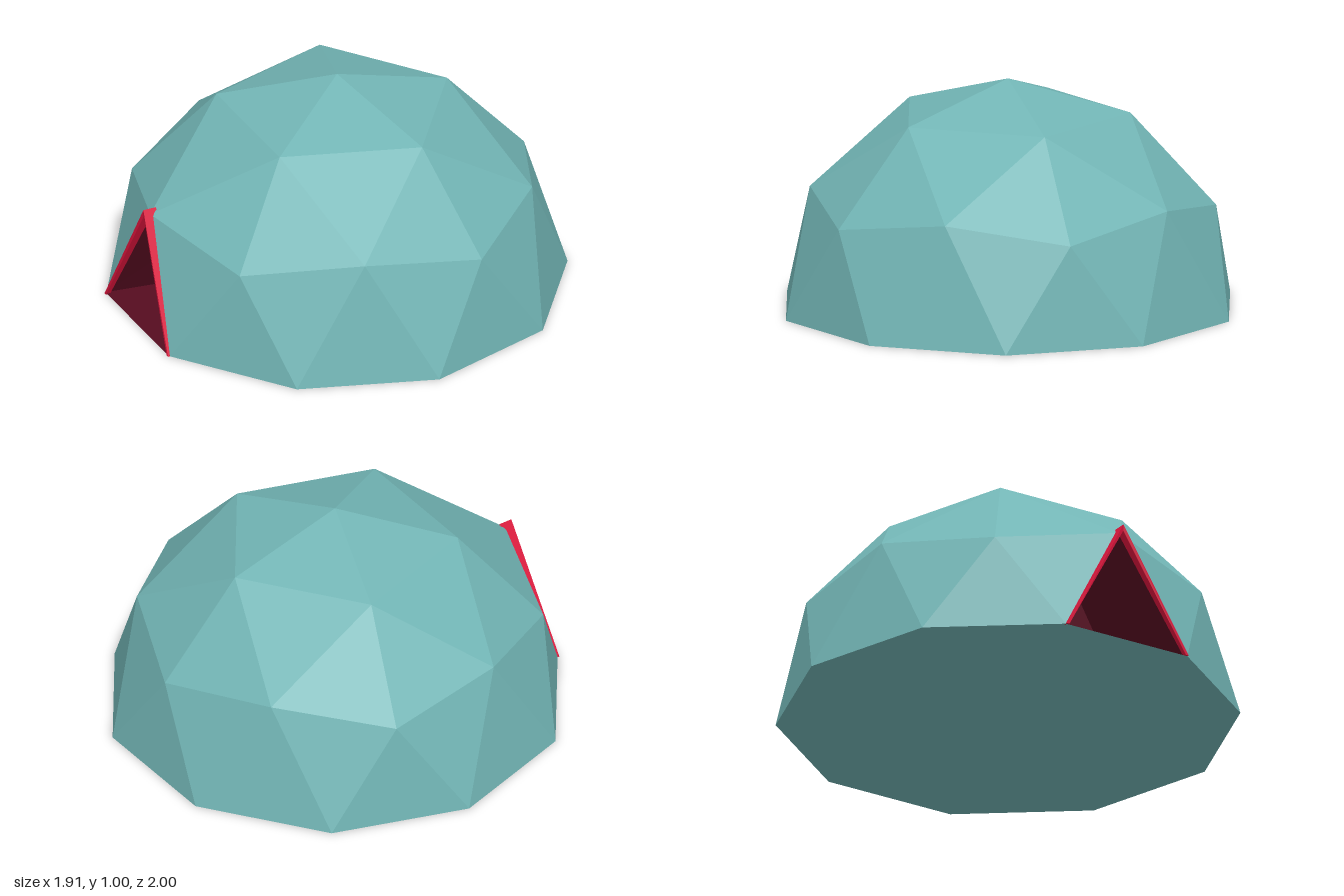
import * as THREE from 'three';
import { ConvexGeometry } from 'three/addons/geometries/ConvexGeometry.js';

// point on a ring, angle in degrees measured from +x towards +z
const ring = (r, y, deg) => {
  const a = THREE.MathUtils.degToRad(deg);
  return new THREE.Vector3(r * Math.cos(a), y, r * Math.sin(a));
};

// flat-faced surface; every triangle faces away from (sign 1) or towards (sign -1) a point
function facets(tris, origin, sign) {
  const pts = [];
  for (const [a, b, c] of tris) {
    const n = b.clone().sub(a).cross(c.clone().sub(a));
    const out = a.clone().add(b).add(c).divideScalar(3).sub(origin);
    pts.push(...(n.dot(out) * sign > 0 ? [a, b, c] : [a, c, b]));
  }
  const geo = new THREE.BufferGeometry().setFromPoints(pts);
  geo.computeVertexNormals();
  return geo;
}

export function createModel() {
  const model = new THREE.Group();
  model.name = 'domeTent';
  const mat = (name, color) => new THREE.MeshStandardMaterial({ name, color });
  const teal = mat('teal', 0x72b5b5);
  const red = mat('crimson', 0xdc143c);
  const dark = mat('darkRed', 0x560c20);
  const add = (name, geo, material) => {
    const m = new THREE.Mesh(geo, material);
    m.name = name;
    model.add(m);
    return m;
  };
  const V = (x, y, z) => new THREE.Vector3(x, y, z);

  // geodesic shell, five equal sectors, with one triangle left open as the doorway
  const doorTop = V(-0.893, 0.53, 0);
  const apex = V(0, 1, 0);
  const A = k => ring(0.526, 0.851, 72 * k);
  const B = k => ring(0.894, 0.447, 72 * k);
  const C = k => (k === 2 ? doorTop : ring(0.851, 0.526, 72 * k + 36));
  const D = deg => ring(1, 0, deg);
  const shell = [];
  for (let k = 0; k < 5; k++) {
    const t = 72 * k;
    shell.push(
      [apex, A(k), A(k + 1)],
      [A(k), B(k), C(k)], [A(k), C(k), A(k + 1)], [A(k + 1), C(k), B(k + 1)],
      [B(k), D(t - 18), D(t + 18)], [B(k), D(t + 18), C(k)], [C(k), D(t + 54), B(k + 1)]
    );
    if (k !== 2) shell.push([C(k), D(t + 18), D(t + 54)]);
  }
  add('domeShell', facets(shell, V(0, 0, 0), 1), teal);

  // underside
  const base = new THREE.CircleGeometry(1, 10, Math.PI / 10);
  base.rotateX(Math.PI / 2);
  add('base', base, teal);

  // recess behind the doorway: floor, two sloping walls and a back
  const y0 = 0.005;
  const [fl, fr, ft] = [V(-0.957, y0, 0.309), V(-0.957, y0, -0.309), doorTop];
  const [bl, br, bt] = [V(-0.5, y0, 0.25), V(-0.5, y0, -0.25), V(-0.5, 0.46, 0)];
  const quad = (a, b, c, d) => [[a, b, c], [a, c, d]];
  add('doorRecess', facets([
    ...quad(fl, fr, br, bl), ...quad(fl, bl, bt, ft), ...quad(fr, br, bt, ft), [bl, br, bt]
  ], V(-0.75, 0.15, 0), -1), dark);

  // two slanted bars framing the doorway
  for (const s of [1, -1]) {
    add(s > 0 ? 'doorBarFront' : 'doorBarBack', new ConvexGeometry([
      V(-0.96, 0, 0.31 * s), V(-0.94, 0, 0.31 * s),
      V(-0.96, 0, 0.296 * s), V(-0.94, 0, 0.296 * s),
      V(-0.926, 0.558, 0), V(-0.865, 0.558, 0),
      V(-0.924, 0.528, 0), V(-0.885, 0.528, 0)
    ]), red);
  }

  model.position.x = 0.004;
  return model;
}
